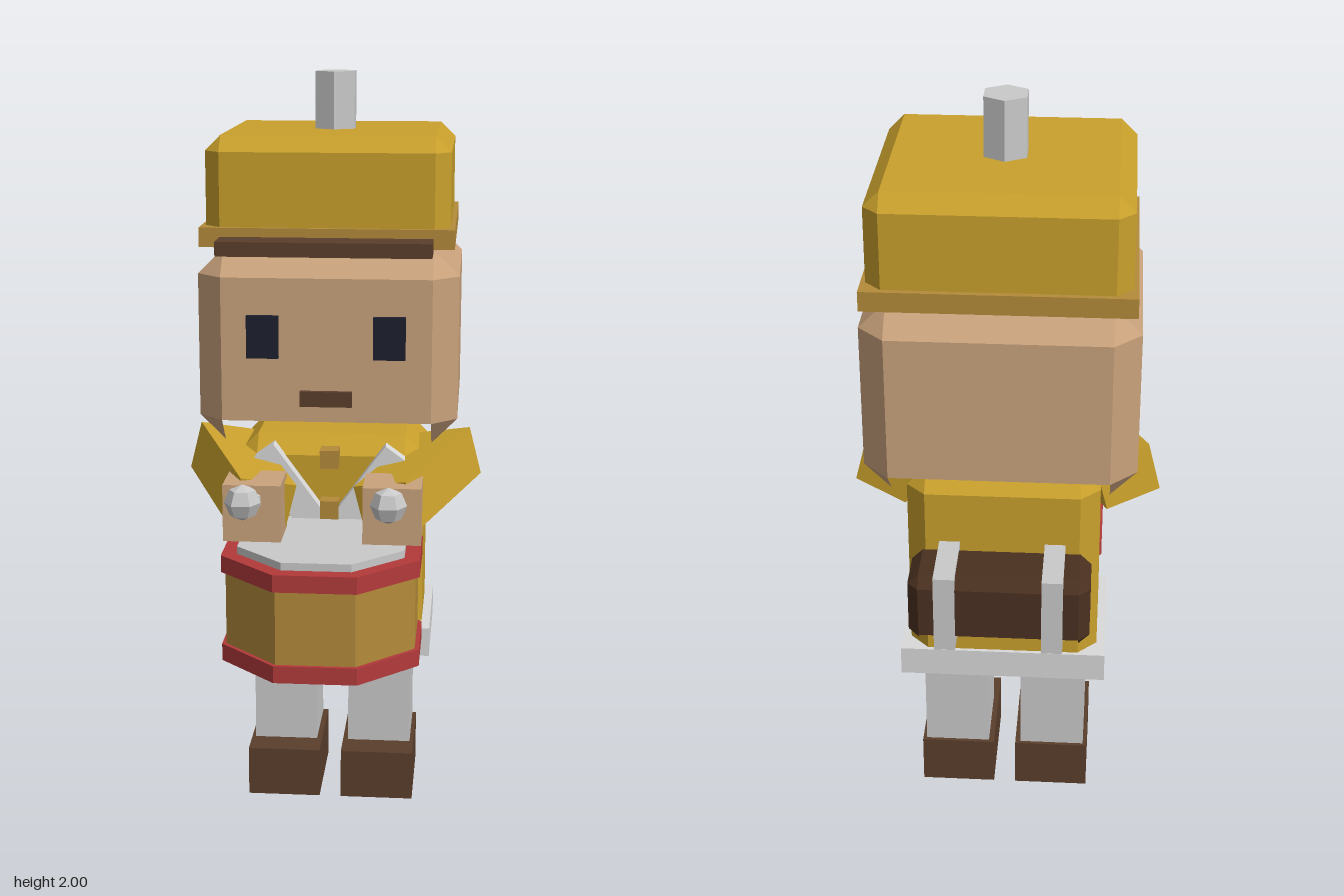
import * as THREE from 'three';

const mat = (name, color, side = THREE.FrontSide) => {
  const m = new THREE.MeshStandardMaterial({ color, side, flatShading: true });
  m.name = name;
  return m;
};

// Open-bottomed box with chamfered edges; the lower corners end in small points.
function chamferBox(w, h, d, c) {
  const X = w / 2, Y = h / 2, Z = d / 2, x = X - c, y = Y - c, z = Z - c;
  const pos = [];
  // Adds a convex face, turned to point away from the middle.
  const face = (...p) => {
    const v = p.map(a => new THREE.Vector3(...a));
    const n = v[1].clone().sub(v[0]).cross(v[2].clone().sub(v[0]));
    if (n.dot(v[0]) < 0) v.reverse();
    for (let i = 1; i < v.length - 1; i++)
      for (const q of [v[0], v[i], v[i + 1]]) pos.push(q.x, q.y, q.z);
  };
  face([-x, Y, -z], [x, Y, -z], [x, Y, z], [-x, Y, z]);
  for (const s of [-1, 1]) {
    // walls and the chamfers above them
    face([s * X, -y, -z], [s * X, -y, z], [s * X, y, z], [s * X, y, -z]);
    face([-x, -y, s * Z], [x, -y, s * Z], [x, y, s * Z], [-x, y, s * Z]);
    face([s * X, y, -z], [s * X, y, z], [s * x, Y, z], [s * x, Y, -z]);
    face([-x, y, s * Z], [x, y, s * Z], [x, Y, s * z], [-x, Y, s * z]);
    for (const t of [-1, 1]) {
      // upright corner chamfer with a triangle at each end
      face([s * X, -y, t * z], [s * x, -y, t * Z], [s * x, y, t * Z], [s * X, y, t * z]);
      for (const u of [-1, 1])
        face([s * X, u * y, t * z], [s * x, u * y, t * Z], [s * x, u * Y, t * z]);
    }
  }
  const g = new THREE.BufferGeometry();
  g.setAttribute('position', new THREE.Float32BufferAttribute(pos, 3));
  g.computeVertexNormals();
  return g;
}

export function createModel() {
  const root = new THREE.Group();
  root.name = 'drummer';
  const two = THREE.DoubleSide;
  const skin = mat('skin', 0xc9a27c, two);
  const gold = mat('gold cloth', 0xc9a02c, two);
  const trim = mat('dull gold trim', 0xb38b3a);
  const brown = mat('brown leather', 0x5a3e2b);
  const dark = mat('dark brown blanket', 0x4a3020, two);
  const red = mat('red rim', 0xb33a3a);
  const grey = mat('light grey', 0xc9c9c9);
  const white = mat('off white', 0xd9d9d9);
  const navy = mat('eye navy', 0x1c1f2e);

  const add = (name, geo, m, x, y, z) => {
    const mesh = new THREE.Mesh(geo, m);
    mesh.name = name;
    mesh.position.set(x, y, z);
    root.add(mesh);
    return mesh;
  };
  // Places a part by its lower and upper limits on each axis.
  const span = (name, m, x0, x1, y0, y1, z0, z1, chamfer = 0) => add(name,
    chamfer ? chamferBox(x1 - x0, y1 - y0, z1 - z0, chamfer)
      : new THREE.BoxGeometry(x1 - x0, y1 - y0, z1 - z0),
    m, (x0 + x1) / 2, (y0 + y1) / 2, (z0 + z1) / 2);

  // Head and hat
  span('head', skin, -0.34, 0.34, 1.05, 1.56, -0.47, 0.16, 0.067);
  span('mouth', brown, -0.068, 0.068, 1.16, 1.2, 0.14, 0.175);
  span('hatCrown', gold, -0.315, 0.315, 1.56, 1.85, -0.46, 0.14, 0.04);
  span('hatBrim', trim, -0.327, 0.327, 1.57, 1.62, -0.475, 0.155);
  span('hatVisor', brown, -0.273, 0.273, 1.56, 1.597, 0.14, 0.25);
  add('hatSpike', new THREE.CylinderGeometry(0.06, 0.06, 0.16, 6), grey, 0, 1.92, -0.16);

  // Torso, belt and buttons
  span('torso', gold, -0.25, 0.25, 0.415, 1.04, -0.335, 0.02, 0.05);
  span('belt', white, -0.273, 0.273, 0.43, 0.51, -0.345, 0.035);
  for (const y of [0.99, 0.85])
    span('button', trim, -0.025, 0.025, y - 0.025, y + 0.025, 0.01, 0.065);

  // Drum
  const octagon = (name, m, apothem, y0, y1) => {
    const r = apothem / Math.cos(Math.PI / 8);
    const g = new THREE.CylinderGeometry(r, r, y1 - y0, 8).rotateY(Math.PI / 8);
    add(name, g, m, 0, (y0 + y1) / 2, 0.237);
  };
  octagon('drumShell', trim, 0.244, 0.53, 0.79);
  octagon('drumLowerRim', red, 0.255, 0.52, 0.565);
  octagon('drumUpperRim', red, 0.255, 0.76, 0.805);
  octagon('drumHead', grey, 0.215, 0.78, 0.825);

  for (const s of [-1, 1]) {
    const side = s > 0 ? 'left' : 'right';
    const pair = (name, m, cx, w, ...rest) =>
      span(side + name, m, s * cx - w / 2, s * cx + w / 2, ...rest);
    pair('Eye', navy, 0.164, 0.083, 1.286, 1.397, 0.14, 0.176);
    pair('Leg', grey, 0.132, 0.175, 0.12, 0.412, -0.255, -0.052);
    pair('Boot', brown, 0.13, 0.2, 0, 0.137, -0.265, 0.033);
    pair('Hand', skin, 0.18, 0.15, 0.83, 0.98, 0.15, 0.3);
    pair('BlanketStrap', grey, 0.137, 0.054, 0.635, 0.85, -0.335, -0.513);

    // Sleeve, turned inwards and down towards the hand
    const d = new THREE.Vector3(-0.16 * s, -0.055, 0.385).normalize();
    const u = new THREE.Vector3(0.14, 0.033 * s, 0.06 * s);
    u.addScaledVector(d, -u.dot(d)).normalize();
    const v = new THREE.Vector3().crossVectors(d, u);
    const sleeve = add(side + 'Sleeve', new THREE.BoxGeometry(0.155, 0.135, 0.42),
      gold, 0.24 * s, 0.932, 0.03);
    sleeve.quaternion.setFromRotationMatrix(new THREE.Matrix4().makeBasis(u, v, d));

    // Drumstick with a faceted tip
    const stick = add(side + 'Drumstick', new THREE.CylinderGeometry(0.027, 0.027, 0.26, 6),
      white, 0.18 * s, 0.952, 0.345);
    stick.rotation.x = Math.PI / 2 - 0.26;
    add(side + 'DrumstickTip', new THREE.SphereGeometry(0.046, 6, 4), grey, 0.18 * s, 0.985, 0.472);

    // Crossed chest strap
    const strap = add(side + 'ChestStrap', new THREE.BoxGeometry(0.08, 0.62, 0.045 - 0.002 * s),
      white, 0, 0.755, 0.038);
    strap.rotation.z = -0.63 * s;
  }

  // Rolled blanket on the back
  span('blanketRoll', dark, -0.232, 0.232, 0.645, 0.84, -0.505, -0.333, 0.028);

  // The blanket straps were given back to front in depth, so keep their faces outward
  root.traverse(o => {
    if (o.name.endsWith('BlanketStrap')) o.geometry = new THREE.BoxGeometry(0.054, 0.215, 0.178);
  });
  return root;
}
